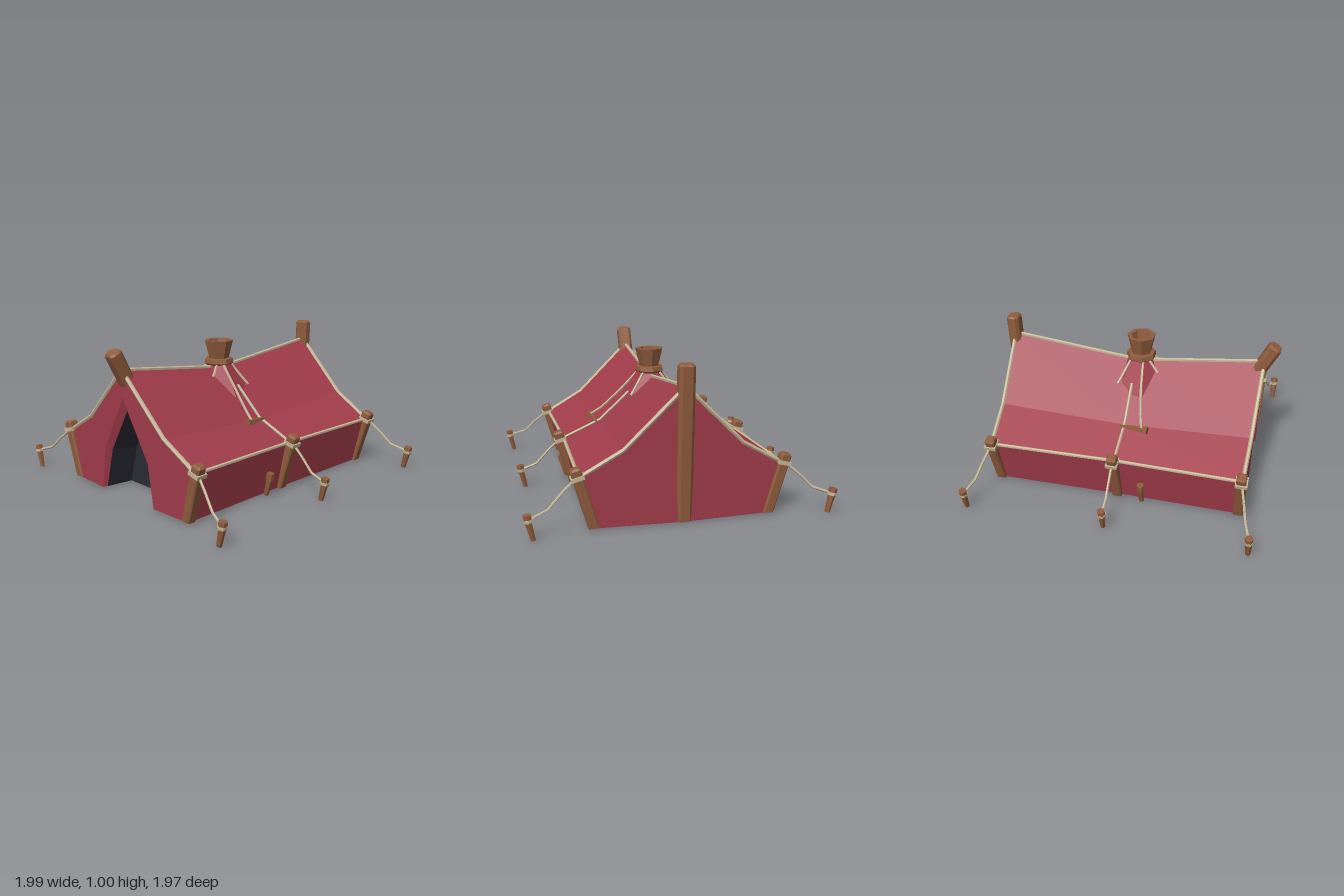
import * as THREE from 'three';
import { mergeGeometries } from 'three/addons/utils/BufferGeometryUtils.js';

const mat = (name, color, side = THREE.FrontSide) => {
  const m = new THREE.MeshStandardMaterial({ color, side });
  m.name = name;
  return m;
};
const V = (x, y, z) => new THREE.Vector3(x, y, z);

// Facet a geometry so every face has its own normal
function flat(geo) {
  const g = geo.index ? geo.toNonIndexed() : geo;
  g.computeVertexNormals();
  return g;
}

// Skin between rows of points that have equal counts, one normal per quad
function loft(rows) {
  const p = [], n = [];
  for (let i = 0; i < rows.length - 1; i++) {
    for (let j = 0; j < rows[i].length - 1; j++) {
      const a = rows[i][j], b = rows[i][j + 1], c = rows[i + 1][j + 1], d = rows[i + 1][j];
      const q = c.clone().sub(a).cross(b.clone().sub(d)).normalize();
      for (const v of [a, d, b, b, d, c]) {
        p.push(v.x, v.y, v.z);
        n.push(q.x, q.y, q.z);
      }
    }
  }
  const g = new THREE.BufferGeometry();
  g.setAttribute('position', new THREE.Float32BufferAttribute(p, 3));
  g.setAttribute('normal', new THREE.Float32BufferAttribute(n, 3));
  return g;
}

// Round bar from a to b
function bar(a, b, r0, r1, sides) {
  const dir = b.clone().sub(a);
  const g = new THREE.CylinderGeometry(r1, r0, dir.length(), sides);
  g.applyQuaternion(new THREE.Quaternion().setFromUnitVectors(V(0, 1, 0), dir.normalize()));
  return g.translate((a.x + b.x) / 2, (a.y + b.y) / 2, (a.z + b.z) / 2);
}

const ropeGeo = (pts, r = 0.01) =>
  flat(mergeGeometries(pts.slice(1).map((p, i) => bar(pts[i], p, r, r, 6))));

// Timber from a to b with long edges chamfered by c, cut level with the ground
function timber(a, b, w, d, c) {
  const dir = b.clone().sub(a), len = dir.length();
  const ring = (y, k) => {
    const x = w / 2 - k, z = d / 2 - k;
    return [[-x, c - z], [c - x, -z], [x - c, -z], [x, c - z], [x, z - c], [x - c, z], [c - x, z], [-x, z - c], [-x, c - z]]
      .map(([px, pz]) => V(px, y, pz));
  };
  const cap = Array(9).fill(V(0, len, 0)), foot = Array(9).fill(V(0, 0, 0));
  const g = loft([foot, ring(0, 0), ring(len - 0.012, 0), ring(len, 0.01), cap]);
  g.applyQuaternion(new THREE.Quaternion().setFromUnitVectors(V(0, 1, 0), dir.normalize()));
  g.translate(a.x, a.y, a.z);
  const p = g.attributes.position;
  for (let i = 0; i < p.count; i++) p.setY(i, Math.max(0, p.getY(i)));
  return flat(g);
}

export function createModel() {
  const group = new THREE.Group();
  const canvas = mat('red canvas', 0xa13c4a, THREE.DoubleSide);
  const wood = mat('brown wood', 0x8f5c3d, THREE.DoubleSide);
  const rope = mat('tan rope', 0xc4b595);
  const dark = mat('dark interior', 0x2c2c35, THREE.DoubleSide);
  const add = (name, geo, material) => {
    const m = new THREE.Mesh(geo, material);
    m.name = name;
    group.add(m);
    return m;
  };

  // Tent cross-sections, half profile from ground to ridge
  const endHalf = [[0.58, 0], [0.65, 0.33], [0.38, 0.485], [0, 0.86]];
  const midHalf = [[0.57, 0], [0.632, 0.33], [0.37, 0.445], [0, 0.757]];
  const frontZ = x => 0.88 - 0.045 * Math.abs(x);
  const backZ = x => -0.9 + 0.045 * Math.abs(x);
  const section = (half, zAt) => [
    ...half.map(([x, y]) => V(-x, y, zAt(x))),
    ...half.slice(0, -1).reverse().map(([x, y]) => V(x, y, zAt(x))),
  ];
  const front = section(endHalf, frontZ);
  const middle = section(midHalf, () => 0);
  const back = section(endHalf, backZ);
  add('roofAndSides', loft([back, middle, front]), canvas);

  // Gable walls, each folded along the centre; the front one has a doorway
  const doorOuter = [[0.27, 0], [0.225, 0.29], [0, 0.68]];
  for (const s of [-1, 1]) {
    for (const [name, outline, zAt] of [
      ['backWall', [...endHalf, [0, 0]], backZ],
      ['frontWall', [...endHalf, ...doorOuter.slice().reverse()], frontZ],
    ]) {
      const shape = new THREE.Shape(outline.map(([x, y]) => new THREE.Vector2(s * x, y)));
      const g = new THREE.ShapeGeometry(shape);
      const p = g.attributes.position;
      for (let i = 0; i < p.count; i++) p.setZ(i, zAt(p.getX(i)));
      // keep the winding facing outward
      if (zAt === backZ) {
        const ix = g.index;
        for (let i = 0; i < ix.count; i += 3) {
          const t = ix.getX(i);
          ix.setX(i, ix.getX(i + 1));
          ix.setX(i + 1, t);
        }
      }
      add(name, flat(g), canvas);
    }
  }

  // Doorway: folded canvas edge, dark jambs and dark back panel
  const outer = section(doorOuter, frontZ);
  const inner = section([[0.265, 0], [0.185, 0.285], [0, 0.585]], x => frontZ(x) - 0.032);
  const deep = section([[0.24, 0], [0.168, 0.268], [0, 0.555]], () => 0.65);
  add('doorFold', loft([inner, outer]), canvas);
  add('doorJamb', loft([deep, inner]), dark);
  const panel = new THREE.Shape(deep.map(p => new THREE.Vector2(p.x, p.y)));
  add('doorPanel', new THREE.ShapeGeometry(panel).translate(0, 0, 0.65), dark);

  // Ridge posts
  add('frontRidgePost', timber(V(0, 0.74, 0.822), V(0, 0.982, 0.946), 0.102, 0.09, 0.02), wood);
  add('backRidgePost', timber(V(0, 0, -0.865), V(0, 0.998, -0.905), 0.102, 0.087, 0.02), wood);

  // Rope edging on the ridge and gables
  add('ridgeRope', ropeGeo([front[3], middle[3], back[3]], 0.013), rope);
  add('frontEdgeRope', ropeGeo(front.slice(1, 6), 0.014), rope);
  add('backEdgeRope', ropeGeo(back.slice(1, 6), 0.014), rope);

  for (const s of [-1, 1]) {
    const e = s < 0 ? 1 : 5;
    add('eaveRope', ropeGeo([front[e], middle[e], back[e]], 0.012), rope);
    add('middleRope', ropeGeo([V(s * 0.16, 0.65, 0), V(s * 0.37, 0.455, 0), V(s * 0.64, 0.337, -0.005)]), rope);

    // Side posts, guy ropes and ground pegs
    [[0.845, 0.94, 0], [-0.01, -0.01, -0.025], [-0.865, -0.96, 0]].forEach(([z, pz, dx]) => {
      add('sidePost', timber(V(s * 0.565, 0, z - Math.sign(pz) * 0.01), V(s * 0.675, 0.39, z), 0.07, 0.066, 0.009), wood);
      add('postLashing', new THREE.BoxGeometry(0.084, 0.026, 0.08)
        .rotateZ(-s * 0.26).translate(s * 0.66, 0.33, z), rope);
      const at = (t, x, y) => V(s * (x + dx * t), y, z + (pz - z) * t);
      add('guyRope', ropeGeo([at(0, 0.66, 0.335), at(0.33, 0.76, 0.25), at(0.6, 0.845, 0.165), at(1, 0.96, 0.127)], 0.0085), rope);
      const px = x => s * (x + dx);
      add('groundPeg', flat(mergeGeometries([
        bar(V(px(0.938), 0, pz), V(px(0.963), 0.11, pz), 0.017, 0.023, 6),
        bar(V(px(0.963), 0.11, pz), V(px(0.972), 0.16, pz), 0.029, 0.027, 6),
      ])), wood);
      add('pegLashing', flat(bar(V(px(0.962), 0.115, pz), V(px(0.965), 0.134, pz), 0.032, 0.032, 6)), rope);
    });

    // Stake against the side wall
    add('wallStake', flat(mergeGeometries([
      bar(V(s * 0.6, 0, 0.175), V(s * 0.628, 0.11, 0.175), 0.017, 0.022, 6),
      bar(V(s * 0.628, 0.11, 0.175), V(s * 0.638, 0.16, 0.175), 0.028, 0.025, 6),
    ])), wood);

    // Ropes hanging from the smoke vent, one holding a wedge-shaped toggle
    add('ventRope', ropeGeo([V(s * 0.08, 0.785, 0.06), V(s * 0.2, 0.655, 0.075), V(s * 0.34, 0.52, 0.105), V(s * 0.42, 0.465, 0.13)], 0.009), rope);
    add('backVentTie', ropeGeo([V(s * 0.06, 0.785, -0.03), V(s * 0.12, 0.7, -0.07), V(s * 0.165, 0.64, -0.1)], 0.009), rope);
    add('frontVentTie', ropeGeo([V(s * 0.05, 0.785, 0.1), V(s * 0.07, 0.74, 0.14), V(s * 0.08, 0.715, 0.165)], 0.009), rope);
    add('ventToggle', flat(bar(V(s * 0.402, 0.453, -0.03), V(s * 0.418, 0.455, 0.17), 0.007, 0.028, 5)), wood);
  }

  // Smoke vent: canvas skirt, collar and flared hollow pot
  const vent = new THREE.Group();
  vent.name = 'smokeVent';
  vent.position.set(0, 0, 0.03);
  group.add(vent);
  const part = (name, geo, material) => vent.add(add(name, flat(geo.rotateY(Math.PI)), material));
  const turned = pts => new THREE.LatheGeometry(pts.map(([r, y]) => new THREE.Vector2(r, y)), 7);
  part('ventSkirt', new THREE.CylinderGeometry(0.085, 0.205, 0.2, 7, 1, true).scale(1.1, 1, 1).translate(0, 0.685, 0), canvas);
  part('ventCollar', turned([[0.05, 0.78], [0.088, 0.78], [0.106, 0.795], [0.1, 0.825], [0.05, 0.83]]), wood);
  part('ventPot', turned([[0.07, 0.825], [0.101, 0.953], [0.072, 0.953], [0.05, 0.86]]), wood);
  part('ventHole', new THREE.CircleGeometry(0.052, 7).rotateZ(-Math.PI / 2).rotateX(-Math.PI / 2).translate(0, 0.862, 0), dark);

  return group;
}
